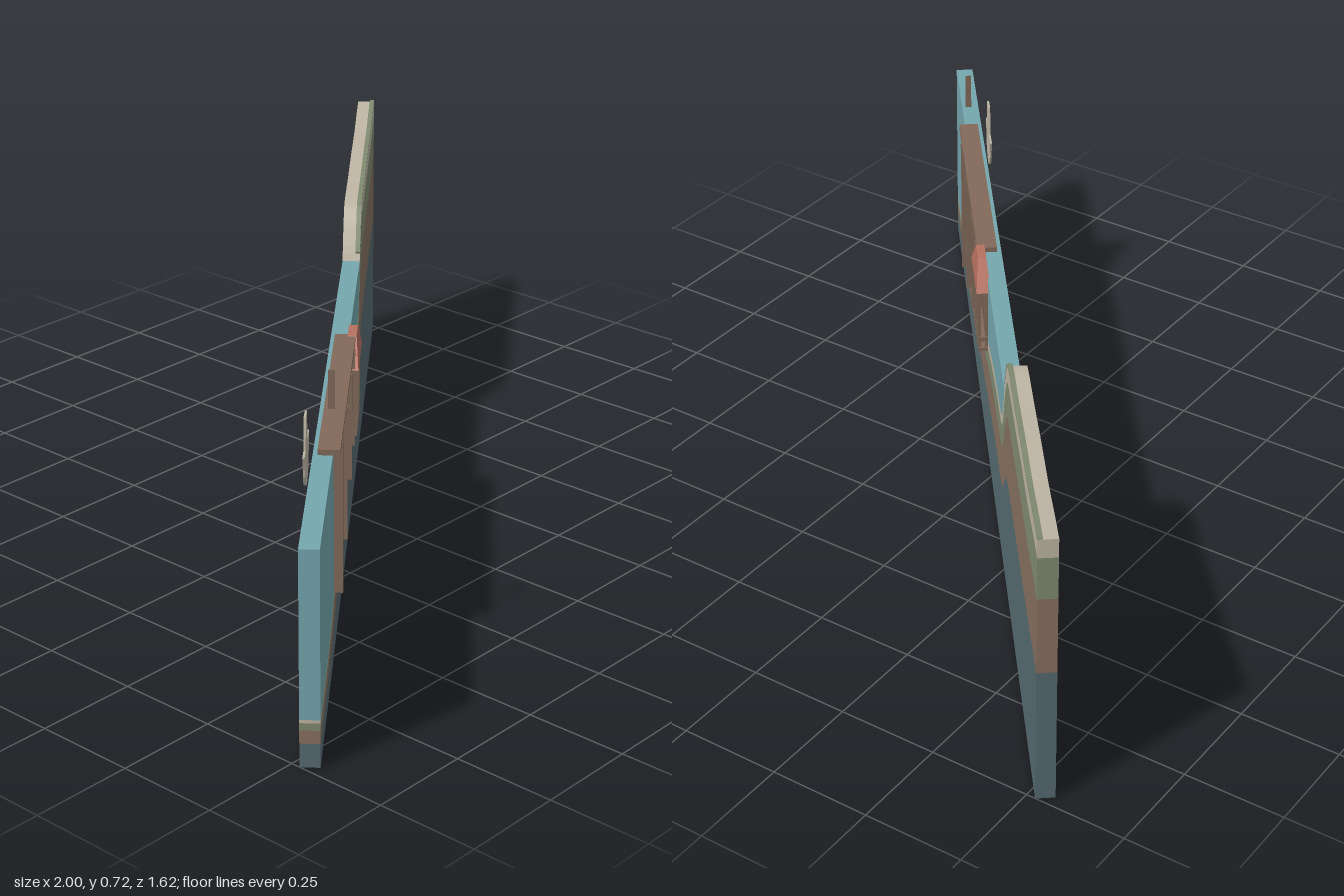
import * as THREE from 'three';

const mat = (name, color, side = THREE.FrontSide) => {
  const m = new THREE.MeshStandardMaterial({ color, side });
  m.name = name;
  return m;
};

export function createModel() {
  const M = {
    rock: mat('deep rock', 0x566a70),
    soil: mat('brown soil', 0x86705f),
    grass: mat('green earth', 0x7f8a70),
    sand: mat('pale sand', 0xbeb5a4),
    water: mat('water', 0x74a6ad),
    wood: mat('wood', 0x82695a),
    roof: mat('roof red', 0xb5705f),
  };

  // Everything is laid out along x, then the whole slab is turned diagonally
  const slab = new THREE.Group();
  slab.name = 'slab';
  slab.rotation.y = Math.atan2(0.785, 0.98);
  const add = (name, geo, m, x = 0, y = 0, z = 0) => {
    const mesh = new THREE.Mesh(geo, m);
    mesh.name = name;
    mesh.position.set(x, y, z);
    slab.add(mesh);
    return mesh;
  };
  const box = (name, m, x, y0, y1, z, w, d) =>
    add(name, new THREE.BoxGeometry(w, y1 - y0, d), m, x, (y0 + y1) / 2, z);
  const plate = (name, pts, m, depth, z) => {
    const geo = new THREE.ExtrudeGeometry(new THREE.Shape(pts), { depth, bevelEnabled: false });
    geo.translate(0, 0, -depth / 2);
    return add(name, geo, m, 0, 0, z);
  };

  // Ground profile
  const L = 1.264, T = 0.045, LEVEL = 0.515;
  const ground = new THREE.SplineCurve([
    [-L, 0.115], [-1.04, 0.115], [-0.92, 0.124], [-0.78, 0.147], [-0.53, 0.21], [-0.27, 0.285],
    [-0.02, 0.35], [0.11, 0.375], [0.24, 0.388], [0.34, 0.394], [0.39, 0.44], [0.445, 0.55],
    [0.495, 0.622], [0.545, 0.645], [0.7, 0.652], [0.88, 0.664], [1.04, 0.67], [1.17, 0.685], [L, 0.692],
  ].map(p => new THREE.Vector2(...p))).getPoints(108);
  const scaled = f => ground.map(p => new THREE.Vector2(p.x, p.y * f));

  // Strata, each a fixed share of the ground height
  const base = [new THREE.Vector2(-L, 0), new THREE.Vector2(L, 0)];
  let below = base;
  [['rockLayer', M.rock, 0.5], ['soilLayer', M.soil, 0.78],
    ['greenLayer', M.grass, 0.932], ['sandLayer', M.sand, 1]].forEach(([name, m, f]) => {
    const top = scaled(f);
    plate(name, [...below, ...[...top].reverse()], m, T, 0);
    below = top;
  });

  // Water filling the basin up to its level
  const bed = ground.filter(p => p.y < LEVEL);
  const shore = ground[bed.length], last = bed[bed.length - 1];
  const t = (LEVEL - last.y) / (shore.y - last.y);
  plate('water', [...bed, new THREE.Vector2(last.x + t * (shore.x - last.x), LEVEL),
    new THREE.Vector2(-L, LEVEL)], M.water, T, 0);

  // Thin grass strip along the front edge of the bank
  const bank = ground.filter(p => p.y > LEVEL);
  plate('grassStrip', [...bank, ...bank.map(p => new THREE.Vector2(p.x - 0.002, p.y + 0.005)).reverse()],
    M.grass, 0.012, 0.017);

  // Pier: deck, bearer and posts standing on the bed
  box('pierDeck', M.wood, -0.515, 0.54, 0.553, 0.017, 0.676, 0.05);
  box('pierBearer', M.wood, -0.515, 0.533, 0.54, 0.033, 0.64, 0.012);
  [[-0.763, 0.16], [-0.577, 0.203], [-0.372, 0.26], [-0.24, 0.29]].forEach(([x, y]) => {
    box('pierPost', M.wood, x, y, 0.54, 0.033, 0.007, 0.021);
    box('pierPostCap', M.wood, x, 0.522, 0.536, 0.033, 0.022, 0.022);
  });

  // Pavilion: slender columns, two rails and a hipped roof
  const hx = -0.155, hz = 0.034;
  for (let i = 0; i < 6; i++)
    for (const z of [-0.008, 0.01])
      box('pavilionColumn', M.wood, hx - 0.07 + i * 0.028, 0.308, 0.49, hz + z, 0.006, 0.007);
  box('pavilionFloor', M.wood, hx, 0.31, 0.32, hz, 0.155, 0.026);
  box('pavilionRail', M.wood, hx, 0.338, 0.351, hz, 0.155, 0.026);
  const roof = new THREE.BoxGeometry(0.182, 0.068, 0.036);
  const rp = roof.attributes.position;
  for (let i = 0; i < rp.count; i++)
    if (rp.getY(i) > 0) rp.setXYZ(i, rp.getX(i) * 0.38, rp.getY(i), rp.getZ(i) * 0.6);
  roof.computeVertexNormals();
  add('pavilionRoof', roof, M.roof, hx, 0.521, hz);

  // Boat cut-out on the far side: rounded hull and tapered cabin
  const bx = -0.817, hull = [];
  for (let i = 0; i <= 10; i++) {
    const a = Math.PI * (1 + i / 10);
    hull.push(new THREE.Vector2(bx + 0.062 * Math.cos(a), 0.515 + 0.06 * Math.sin(a)));
  }
  hull.push(new THREE.Vector2(bx + 0.077, 0.55), new THREE.Vector2(bx - 0.077, 0.55));
  plate('boatHull', hull, M.sand, 0.005, -0.036);
  plate('boatCabin', [[-0.038, 0.55], [0.022, 0.55], [0.012, 0.625], [-0.028, 0.625]]
    .map(([x, y]) => new THREE.Vector2(bx + x, y)), M.sand, 0.005, -0.036);
  box('mast', M.wood, -0.805, 0.63, 0.722, 0.02, 0.003, 0.015);

  const model = new THREE.Group();
  model.name = 'coastalSection';
  model.add(slab);
  return model;
}
